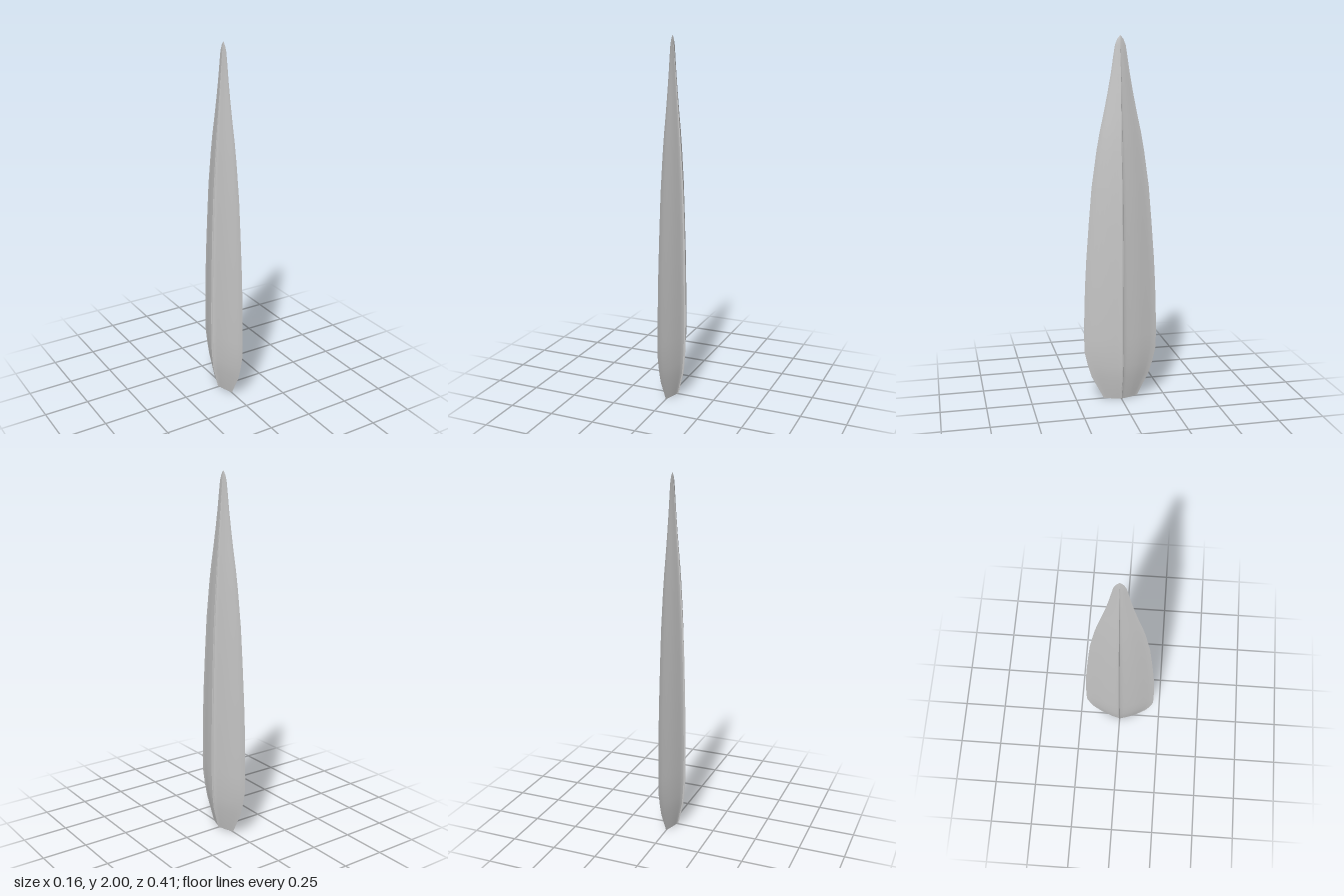
import * as THREE from 'three';

// Blade outline: [height, half thickness (x), half width (z)]
const OUTLINE = [
  [0, 0.035, 0.095], [0.03, 0.043, 0.11], [0.13, 0.067, 0.163], [0.2, 0.074, 0.185],
  [0.28, 0.079, 0.203], [0.36, 0.08, 0.205], [0.5, 0.08, 0.203], [0.65, 0.078, 0.198],
  [0.8, 0.075, 0.19], [1.0, 0.07, 0.175], [1.2, 0.062, 0.158], [1.4, 0.05, 0.13],
  [1.5, 0.043, 0.112], [1.6, 0.035, 0.09], [1.7, 0.027, 0.07], [1.8, 0.019, 0.052],
  [1.9, 0.011, 0.037], [1.95, 0.007, 0.029], [1.98, 0.004, 0.017], [2, 0.0005, 0.001],
];

// Quarter cross-section as fractions of thickness and width
const RIDGE = [[1, 0], [0.96, 0.012], [0.88, 0.018]];
const FACE = [
  [0.88, 0.018], [0.81, 0.06], [0.75, 0.13], [0.69, 0.22], [0.61, 0.32], [0.51, 0.45],
  [0.39, 0.57], [0.26, 0.7], [0.13, 0.82], [0.05, 0.91], [0, 1],
];

// Lofts part of the quarter section up the outline, mirrored by sx and sz
function loft(section, sx, sz) {
  const pos = [], index = [], n = section.length;
  for (const [y, hx, hz] of OUTLINE)
    for (const [u, v] of section) pos.push(sx * u * hx, y, sz * v * hz);
  for (let j = 0; j < OUTLINE.length - 1; j++) {
    for (let i = 0; i < n - 1; i++) {
      const a = j * n + i, b = a + 1, c = a + n, d = c + 1;
      if (sx * sz > 0) index.push(a, c, b, b, c, d);
      else index.push(a, b, c, b, d, c);
    }
  }
  const geo = new THREE.BufferGeometry();
  geo.setAttribute('position', new THREE.Float32BufferAttribute(pos, 3));
  geo.setIndex(index);
  geo.computeVertexNormals();
  return geo;
}

export function createModel() {
  const group = new THREE.Group();
  group.name = 'blade';
  const steel = new THREE.MeshStandardMaterial({ color: 0xc4c4c4 });
  steel.name = 'steel';
  const add = (geo, name) => {
    const mesh = new THREE.Mesh(geo, steel);
    mesh.name = name;
    group.add(mesh);
    return mesh;
  };

  // Four hollow-ground faces and the thin central ridges
  for (const sx of [1, -1]) {
    for (const sz of [1, -1]) {
      const side = (sx > 0 ? 'left' : 'right') + (sz > 0 ? 'Front' : 'Back');
      add(loft(FACE, sx, sz), side + 'Face');
      add(loft(RIDGE, sx, sz), side + 'Ridge');
    }
  }

  // Flat base closing the bottom of the blade
  const quarter = [...RIDGE, ...FACE.slice(1)];
  const back = [...quarter].reverse();
  const ring = [
    ...quarter,
    ...back.slice(1).map(([u, v]) => [-u, v]),
    ...quarter.slice(1).map(([u, v]) => [-u, -v]),
    ...back.slice(1, -1).map(([u, v]) => [u, -v]),
  ];
  const [, hx, hz] = OUTLINE[0];
  const shape = new THREE.Shape(ring.map(([u, v]) => new THREE.Vector2(u * hx, v * hz)));
  add(new THREE.ShapeGeometry(shape).rotateX(Math.PI / 2), 'base');
  return group;
}
